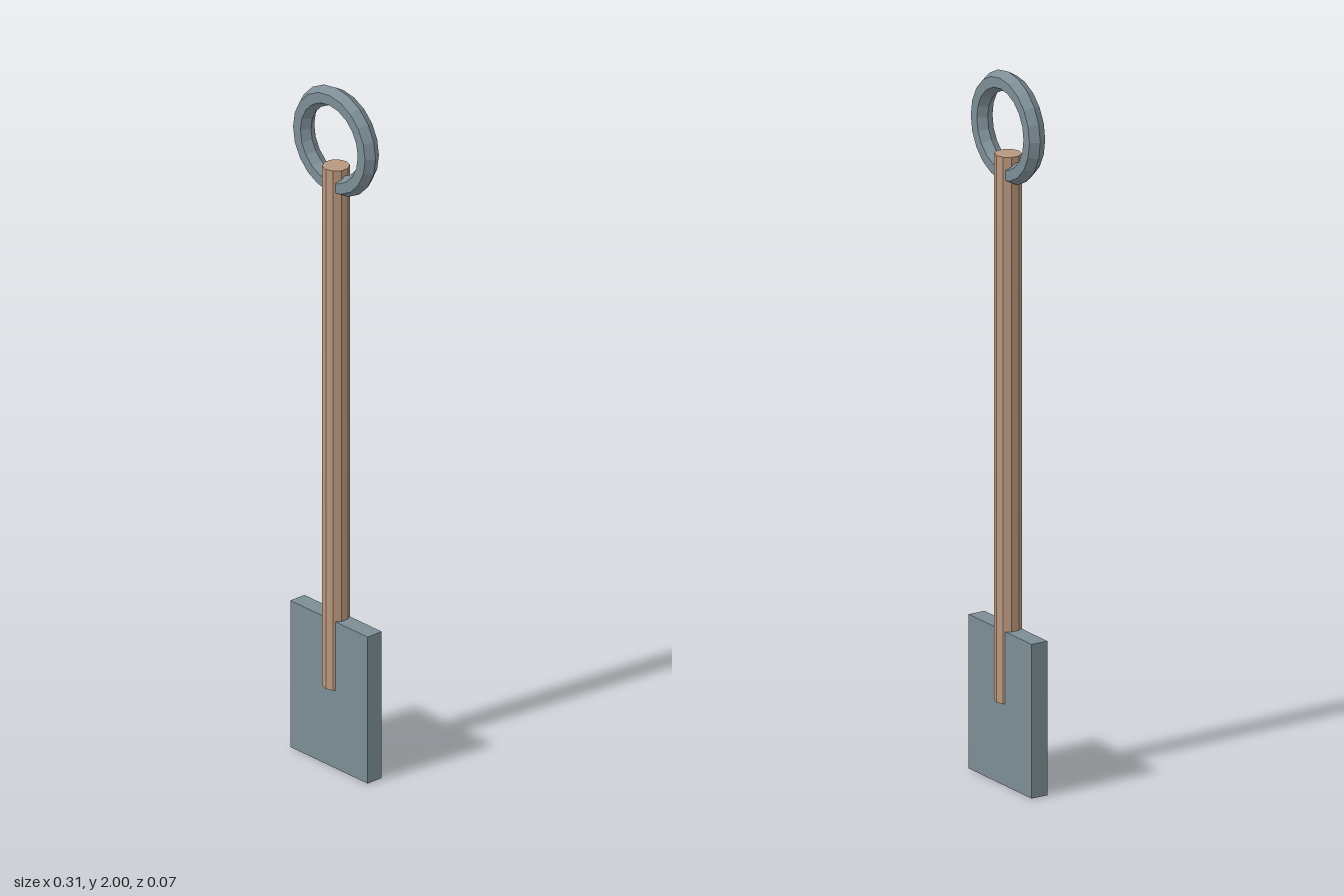
import * as THREE from 'three';

const steel = new THREE.MeshStandardMaterial({ color: 0x7c8d95, flatShading: true });
steel.name = 'steel';
const wood = new THREE.MeshStandardMaterial({ color: 0xb8977e, flatShading: true });
wood.name = 'wood';

function part(name, geometry, material, y) {
  const mesh = new THREE.Mesh(geometry, material);
  mesh.name = name;
  mesh.position.y = y;
  return mesh;
}

export function createModel() {
  const group = new THREE.Group();
  group.name = 'spade';

  // Flat rectangular blade standing on the ground
  group.add(part('blade', new THREE.BoxGeometry(0.306, 0.434, 0.051), steel, 0.217));

  // Ten-sided shaft, sunk into the blade
  const bottom = 0.23, top = 1.77;
  group.add(part('shaft', new THREE.CylinderGeometry(0.037, 0.037, top - bottom, 10), wood, (top + bottom) / 2));

  // Hexagonal-section ring grip; its lowest part passes through the shaft
  const ring = new THREE.TorusGeometry(0.128, 0.029, 6, 20);
  group.add(part('ringGrip', ring, steel, 1.843));

  return group;
}
